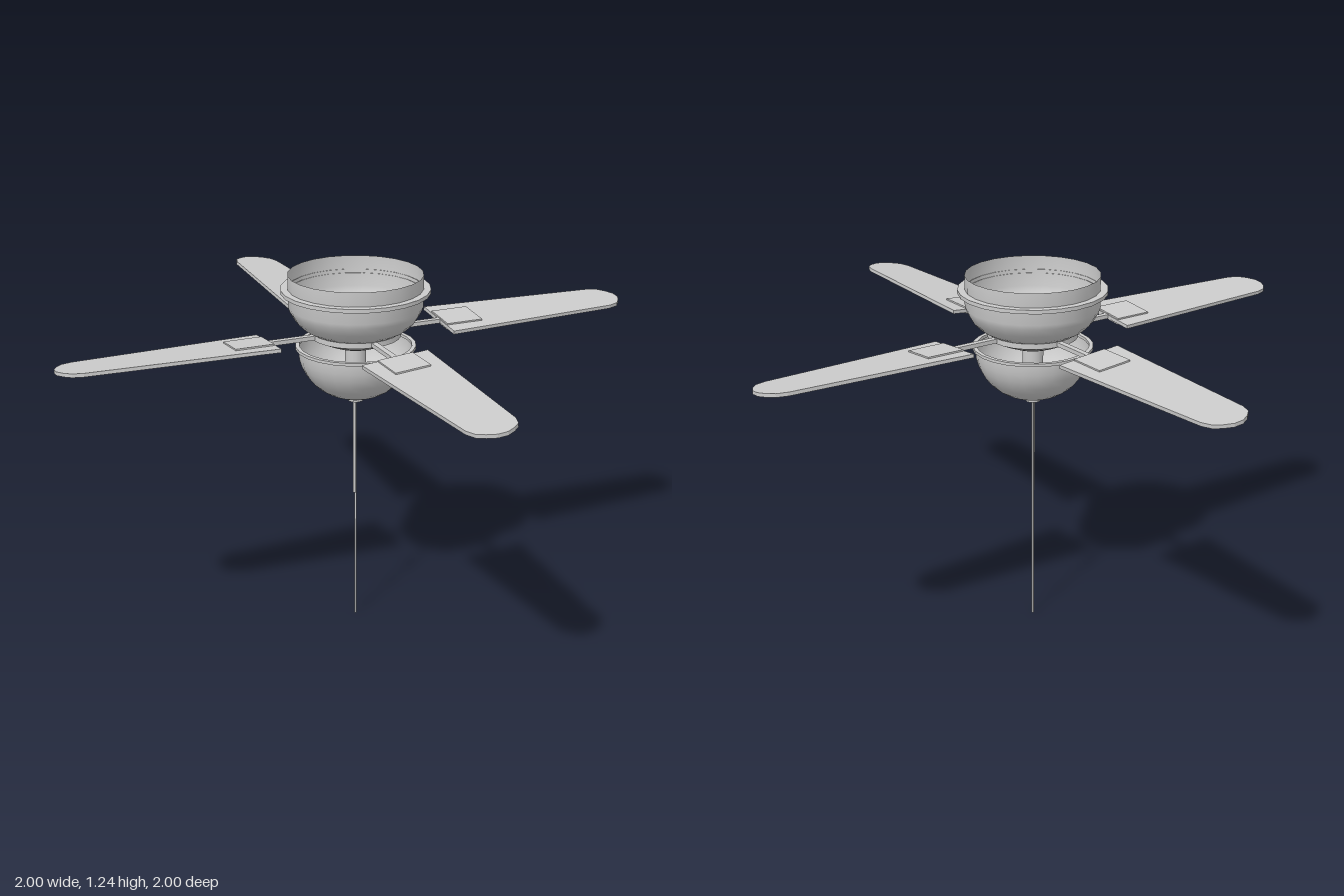
import * as THREE from 'three';
import { toCreasedNormals } from 'three/addons/utils/BufferGeometryUtils.js';

const grey = new THREE.MeshStandardMaterial({ color: 0xcccccc });
const greyOpen = new THREE.MeshStandardMaterial({ color: 0xcccccc, side: THREE.DoubleSide });

function add(parent, name, geometry, material = grey) {
  const mesh = new THREE.Mesh(geometry, material);
  mesh.name = name;
  parent.add(mesh);
  return mesh;
}

// Turned part from [radius, height] pairs, listed from bottom to top
function turned(points, sides = 24) {
  const profile = points.map(([r, y]) => new THREE.Vector2(r, y));
  return toCreasedNormals(new THREE.LatheGeometry(profile, sides), 0.6);
}

function rod(parent, name, radius, bottom, top, x = 0, z = 0, sides = 8) {
  const mesh = add(parent, name, new THREE.CylinderGeometry(radius, radius, top - bottom, sides));
  mesh.position.set(x, (bottom + top) / 2, z);
}

function bladeGeometry(thickness) {
  // Tapered outline along +x; the second side mirrors the first
  const side = [[0.305, 0.114], [0.93, 0.08], [0.965, 0.068], [0.985, 0.045], [1, 0.016]];
  const outline = [...side, ...side.map(([x, w]) => [x, -w]).reverse()];
  const shape = new THREE.Shape(outline.map(([x, w]) => new THREE.Vector2(x, w)));
  const geometry = new THREE.ExtrudeGeometry(shape, { depth: thickness, bevelEnabled: false });
  return geometry.translate(0, 0, -thickness / 2).rotateX(-Math.PI / 2);
}

export function createModel() {
  const fan = new THREE.Group();
  fan.name = 'ceilingFan';

  // Open-topped motor housing
  add(fan, 'motorHousing', turned([
    [0, 1.05], [0.15, 1.05], [0.175, 1.065], [0.2, 1.09], [0.216, 1.118],
    [0.222, 1.135], [0.222, 1.24],
  ]), greyOpen);

  // Flange around the housing
  add(fan, 'housingFlange', turned([
    [0.22, 1.18], [0.246, 1.18], [0.246, 1.193], [0.22, 1.193],
  ]), greyOpen);

  // Rotor under the housing that carries the blade arms
  add(fan, 'rotorHub', turned([
    [0, 1.0], [0.075, 1.0], [0.11, 1.014], [0.15, 1.032], [0.15, 1.05],
  ]), greyOpen);

  // Stem between rotor and bowl
  rod(fan, 'stem', 0.035, 0.82, 1.005, 0, 0, 16);

  // Four pitched blades with their arms and mounting plates
  const blade = bladeGeometry(0.012);
  for (let i = 0; i < 4; i++) {
    const assembly = new THREE.Group();
    assembly.name = 'bladeAssembly';
    assembly.position.y = 1.042;
    assembly.rotation.y = i * Math.PI / 2;
    const arm = add(assembly, 'bladeArm', new THREE.BoxGeometry(0.22, 0.014, 0.02));
    arm.position.x = 0.21;
    const pitched = new THREE.Group();
    pitched.name = 'pitchedBlade';
    pitched.rotation.x = 0.09;
    add(pitched, 'blade', blade);
    const plate = add(pitched, 'mountingPlate', new THREE.BoxGeometry(0.13, 0.022, 0.12));
    plate.position.x = 0.373;
    assembly.add(pitched);
    fan.add(assembly);
  }

  // Light bowl, open at the top
  const bowl = [[0, 0.815]];
  for (let i = 1; i <= 9; i++) {
    const a = i / 9 * Math.PI / 2;
    bowl.push([0.19 * Math.sin(a), 0.985 - 0.17 * Math.cos(a)]);
  }
  bowl.push([0.19, 0.992]);
  add(fan, 'lightBowl', turned(bowl), greyOpen);
  add(fan, 'bowlRim', turned([
    [0.186, 0.99], [0.2, 0.99], [0.2, 1.0], [0.186, 1.0], [0.186, 0.99],
  ]), greyOpen);

  // Finial and the two pull cords
  rod(fan, 'finial', 0.025, 0.803, 0.822, 0, 0, 12);
  rod(fan, 'shortPullCord', 0.005, 0.47, 0.81, -0.007, 0.007);
  rod(fan, 'longPullCord', 0.004, 0, 0.81);

  return fan;
}
